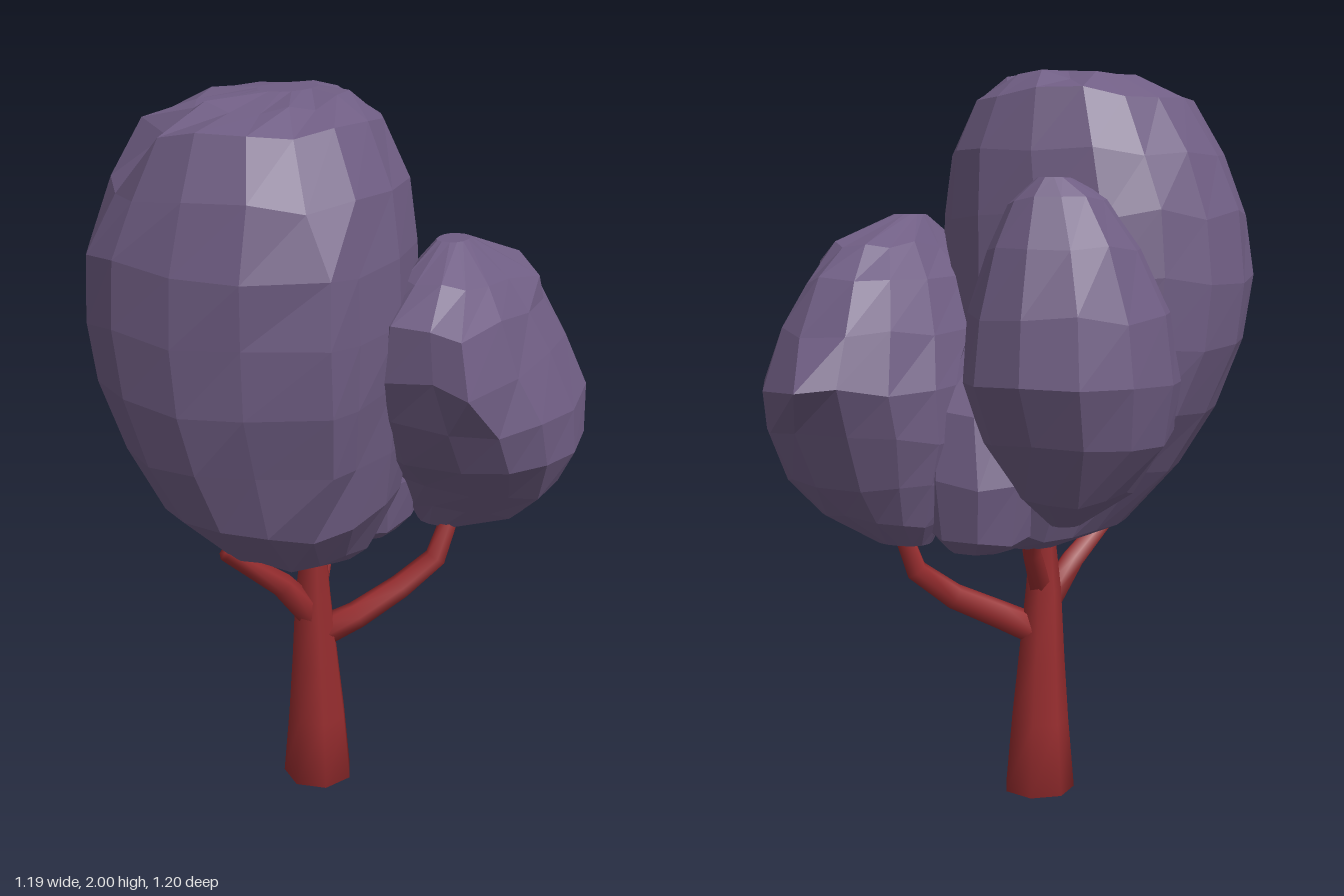
import * as THREE from 'three';

const leafMat = new THREE.MeshStandardMaterial({ color: 0x705e84, flatShading: true });
leafMat.name = 'plum foliage';
const barkMat = new THREE.MeshStandardMaterial({ color: 0x962c2e });
barkMat.name = 'red bark';

// Skin a stack of rings (arrays of Vector3) and close both ends
function skin(rings) {
  const n = rings[0].length;
  const pos = [], idx = [];
  rings.forEach(r => r.forEach(p => pos.push(p.x, p.y, p.z)));
  for (let j = 0; j < rings.length - 1; j++) {
    for (let i = 0; i < n; i++) {
      const a = j * n + i, b = j * n + (i + 1) % n;
      idx.push(a, a + n, b, b, a + n, b + n);
    }
  }
  [0, rings.length - 1].forEach(j => {
    const c = new THREE.Vector3();
    rings[j].forEach(p => c.addScaledVector(p, 1 / n));
    const k = pos.length / 3;
    pos.push(c.x, c.y, c.z);
    for (let i = 0; i < n; i++) {
      const a = j * n + i, b = j * n + (i + 1) % n;
      if (j === 0) idx.push(k, a, b); else idx.push(k, b, a);
    }
  });
  const g = new THREE.BufferGeometry();
  g.setAttribute('position', new THREE.Float32BufferAttribute(pos, 3));
  g.setIndex(idx);
  g.computeVertexNormals();
  return g;
}

// Faceted leaf mass from level extents [y, xMin, xMax, zMin, zMax]; power > 2 squares it off
function crown(name, levels, sides, power, seed, corners = []) {
  let s = seed;
  const rand = () => (s = (s * 16807) % 2147483647) / 2147483647 - 0.5;
  const bend = v => Math.sign(v) * Math.pow(Math.abs(v), 2 / power);
  const rings = levels.map(([y, x0, x1, z0, z1], j) =>
    Array.from({ length: sides }, (_, i) => {
      const a = (i / sides) * Math.PI * 2;
      const k = 1 + rand() * 0.025;
      const inner = j > 0 && j < levels.length - 1;
      return new THREE.Vector3(
        (x0 + x1) / 2 + bend(Math.cos(a)) * k * (x1 - x0) / 2,
        y + (inner ? rand() * 0.03 : 0),
        (z0 + z1) / 2 + bend(Math.sin(a)) * k * (z1 - z0) / 2);
    }));
  // Move the nearest vertex onto each uneven corner
  corners.forEach(c => {
    const t = new THREE.Vector3(...c);
    rings.flat().sort((a, b) => a.distanceTo(t) - b.distanceTo(t))[0].copy(t);
  });
  const mesh = new THREE.Mesh(skin(rings), leafMat);
  mesh.name = name;
  return mesh;
}

// Tapered limb through points [x, y, z, radius]
function limb(name, pts, sides) {
  const v = pts.map(p => new THREE.Vector3(p[0], p[1], p[2]));
  const up = new THREE.Vector3(0, 1, 0);
  const rings = v.map((c, j) => {
    const dir = v[Math.min(j + 1, v.length - 1)].clone().sub(v[Math.max(j - 1, 0)]).normalize();
    if (pts[j][1] === 0) dir.copy(up);
    const q = new THREE.Quaternion().setFromUnitVectors(up, dir);
    return Array.from({ length: sides }, (_, i) => {
      const a = (i / sides) * Math.PI * 2;
      return new THREE.Vector3(Math.cos(a), 0, Math.sin(a))
        .multiplyScalar(pts[j][3]).applyQuaternion(q).add(c);
    });
  });
  const mesh = new THREE.Mesh(skin(rings), barkMat);
  mesh.name = name;
  return mesh;
}

export function createModel() {
  const tree = new THREE.Group();
  tree.name = 'tree';

  // Trunk and its three branches
  tree.add(limb('trunk', [
    [-0.065, 0, 0.06, 0.102], [-0.065, 0.2, 0.062, 0.084], [-0.068, 0.38, 0.066, 0.068],
    [-0.072, 0.58, 0.07, 0.052], [-0.07, 0.72, 0.07, 0.038], [-0.07, 0.85, 0.07, 0.035],
  ], 7));
  tree.add(limb('leftBranch', [
    [-0.06, 0.46, 0.06, 0.045], [0.03, 0.51, 0, 0.04], [0.12, 0.575, -0.1, 0.036],
    [0.2, 0.655, -0.17, 0.032], [0.235, 0.8, -0.21, 0.025],
  ], 6));
  tree.add(limb('rightBranch', [
    [-0.075, 0.53, 0.08, 0.042], [-0.12, 0.65, 0.17, 0.034], [-0.2, 0.8, 0.335, 0.022],
  ], 6));
  tree.add(limb('backBranch', [
    [-0.07, 0.57, 0.07, 0.036], [-0.08, 0.7, -0.02, 0.028], [-0.14, 0.88, -0.12, 0.022],
  ], 6));

  // Tall front crown
  tree.add(crown('frontCrown', [
    [0.72, -0.14, 0.05, -0.07, 0.13], [0.78, -0.29, 0.1, -0.17, 0.33],
    [0.93, -0.41, 0.18, -0.21, 0.5], [1.1, -0.51, 0.21, -0.22, 0.55],
    [1.28, -0.58, 0.23, -0.21, 0.59], [1.45, -0.6, 0.24, -0.21, 0.6],
    [1.62, -0.58, 0.235, -0.2, 0.6], [1.78, -0.52, 0.215, -0.18, 0.56],
    [1.93, -0.43, 0.14, -0.14, 0.5], [1.98, -0.3, 0.05, -0.06, 0.38],
    [2.0, -0.17, -0.04, 0.02, 0.22],
  ], 16, 2.25, 11, [
    [0.18, 1.12, 0.45], [0.2, 1.29, 0.49], [0.2, 1.46, 0.5], [0.19, 1.62, 0.48],
    [-0.32, 1.9, 0.35], [-0.43, 1.76, 0.42],
  ]));

  // Slanted side crown, pointed at the back
  tree.add(crown('leftCrown', [
    [0.75, 0.12, 0.27, -0.3, -0.18], [0.82, 0.08, 0.43, -0.37, -0.12],
    [0.92, 0.04, 0.53, -0.43, -0.03], [1.05, 0.01, 0.59, -0.49, 0.12],
    [1.18, 0.01, 0.585, -0.54, 0.21], [1.32, 0.04, 0.53, -0.5, 0.26],
    [1.45, 0.1, 0.48, -0.42, 0.26], [1.54, 0.17, 0.42, -0.32, 0.16],
    [1.625, 0.24, 0.32, -0.1, 0.01],
  ], 14, 2.35, 29, [
    [0.3, 1.18, -0.6], [0.45, 1.3, 0.26], [0.42, 1.44, 0.24], [0.45, 1.5, -0.24],
  ]));

  // Egg-shaped rear crown
  tree.add(crown('rearCrown', [
    [0.82, -0.28, -0.2, -0.2, -0.1], [0.9, -0.4, -0.12, -0.31, 0.05],
    [1.05, -0.5, -0.03, -0.42, 0.17], [1.2, -0.53, 0, -0.49, 0.19],
    [1.37, -0.51, -0.01, -0.47, 0.15], [1.53, -0.44, -0.06, -0.41, 0.05],
    [1.65, -0.36, -0.12, -0.35, -0.05], [1.71, -0.29, -0.21, -0.31, -0.2],
  ], 12, 2.15, 53));

  // Low crown filling the gap underneath
  tree.add(crown('lowerCrown', [
    [0.735, -0.08, 0.09, -0.26, -0.02], [0.78, -0.15, 0.14, -0.31, 0.05],
    [0.93, -0.18, 0.16, -0.335, 0.1], [1.12, -0.13, 0.13, -0.31, 0.1],
    [1.28, -0.05, 0.07, -0.2, 0],
  ], 10, 2.3, 71));

  return tree;
}
